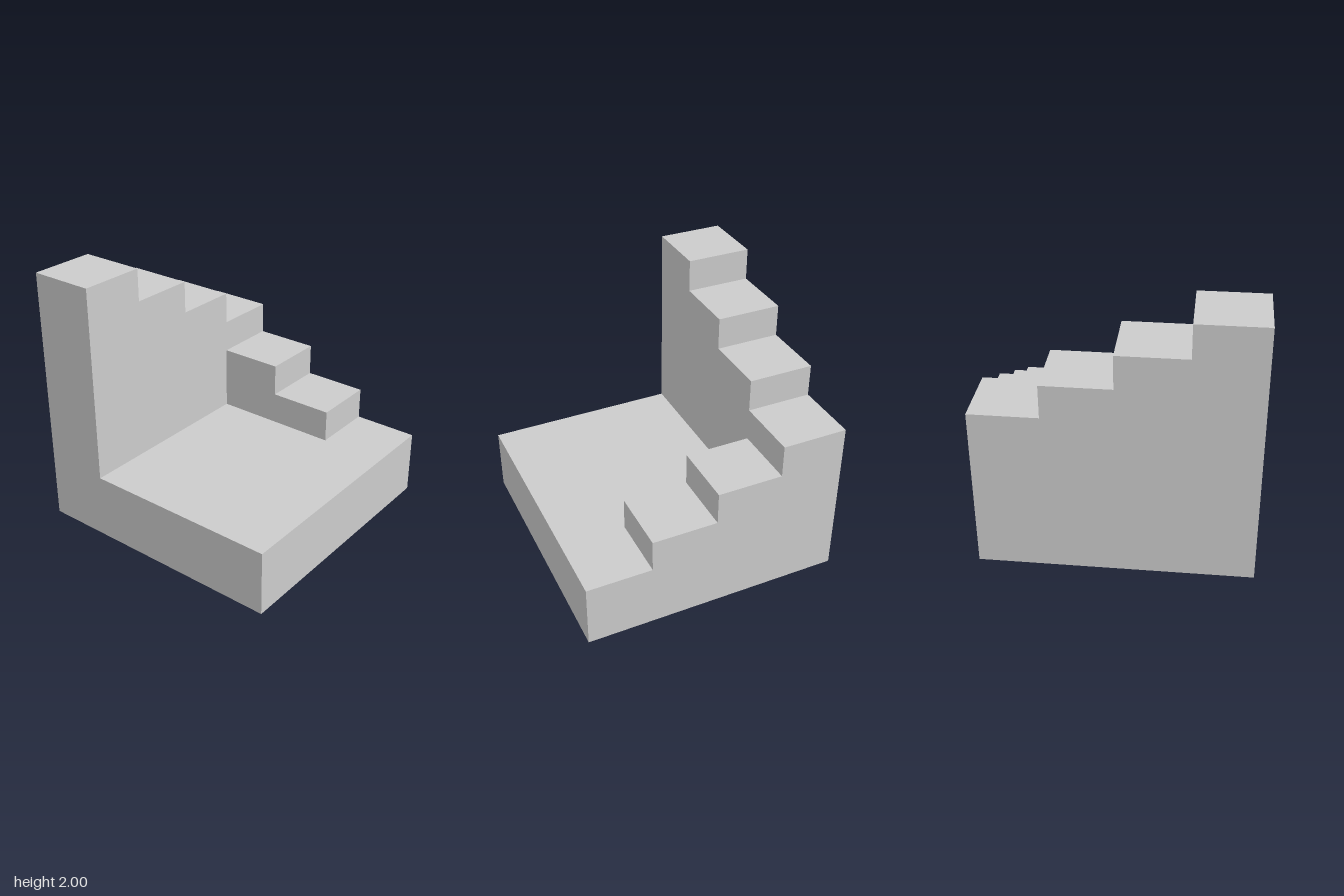
import * as THREE from 'three';

const TREAD = 0.5; // depth and width of every step
const BASE = 0.5; // height of the platform

const material = new THREE.MeshStandardMaterial({ color: 0xcccccc, flatShading: true });

// Solid stepped profile: one tread per height, starting at x = start
function stairGeometry(start, heights) {
  const shape = new THREE.Shape();
  shape.moveTo(start, BASE);
  heights.forEach((h, i) => {
    shape.lineTo(start + i * TREAD, h);
    shape.lineTo(start + (i + 1) * TREAD, h);
  });
  shape.lineTo(start + heights.length * TREAD, BASE);
  shape.closePath();
  return new THREE.ExtrudeGeometry(shape, { depth: TREAD, bevelEnabled: false });
}

export function createModel() {
  const model = new THREE.Group();
  model.name = 'cornerStaircase';
  const add = (name, geometry) => {
    const mesh = new THREE.Mesh(geometry, material);
    mesh.name = name;
    model.add(mesh);
  };

  // Square platform
  add('platform', new THREE.BoxGeometry(2, BASE, 2).translate(0, BASE / 2, 0));

  // Upper flight along the back, falling towards +x
  add('backFlight', stairGeometry(-1, [2, 1.75, 1.5, 1.25]).translate(0, 0, -1));

  // Lower flight along the +x side, rising towards the back
  add('sideFlight', stairGeometry(-0.5, [0.75, 1]).rotateY(Math.PI / 2).translate(0.5, 0, 0));

  return model;
}
